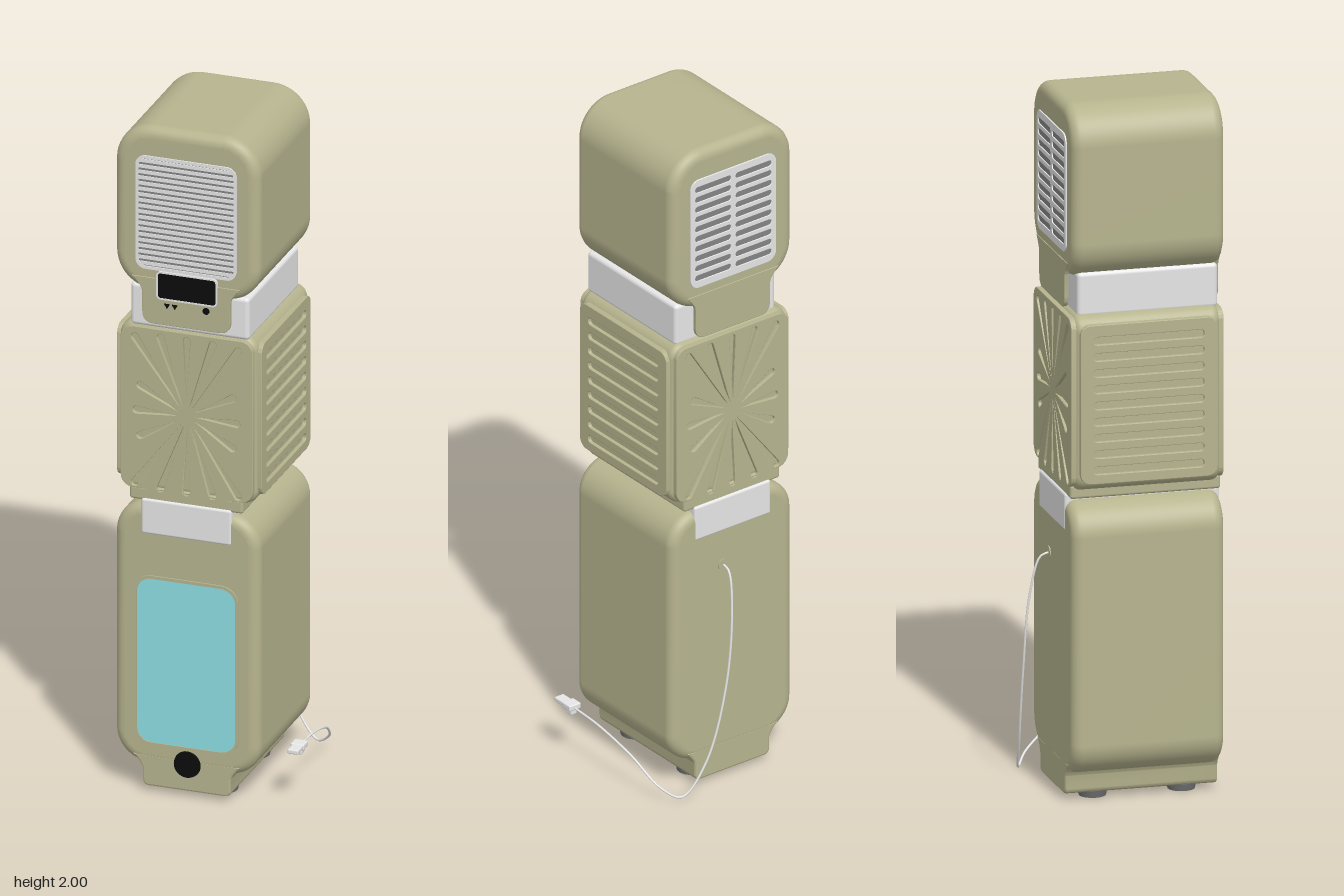
import * as THREE from 'three';
import { mergeVertices, toCreasedNormals } from 'three/addons/utils/BufferGeometryUtils.js';
import { RoundedBoxGeometry } from 'three/addons/geometries/RoundedBoxGeometry.js';

const CX = -0.053, FRONT = 0.248, BACK = -0.19;

const mat = (name, color) => {
  const m = new THREE.MeshStandardMaterial({ color });
  m.name = name;
  return m;
};

// Rounded rectangle outline
function rr(x0, y0, x1, y1, r) {
  const s = new THREE.Shape(), h = Math.PI / 2;
  s.moveTo(x0 + r, y0);
  s.absarc(x1 - r, y0 + r, r, -h, 0, false);
  s.absarc(x1 - r, y1 - r, r, 0, h, false);
  s.absarc(x0 + r, y1 - r, r, h, 2 * h, false);
  s.absarc(x0 + r, y0 + r, r, 2 * h, 3 * h, false);
  return s;
}

// Rounded rectangle frame of even width
function ring(x0, y0, x1, y1, r, w) {
  const s = rr(x0, y0, x1, y1, r);
  s.holes.push(rr(x0 + w, y0 + w, x1 - w, y1 - w, r - w));
  return s;
}

// Slot that widens away from the centre of the starburst
function ray(x, y) {
  const a = Math.atan2(y, x), len = Math.hypot(x, y), r0 = 0.03, wi = 0.0015, w = 0.0105;
  const c = Math.cos(a), s = Math.sin(a), y0 = 1.145;
  const p = new THREE.Path();
  p.moveTo(CX + c * r0 + s * wi, y0 + s * r0 - c * wi);
  p.absarc(CX + c * (len - w), y0 + s * (len - w), w, a - Math.PI / 2, a + Math.PI / 2, false);
  p.lineTo(CX + c * r0 - s * wi, y0 + s * r0 + c * wi);
  p.closePath();
  return p;
}

// Neck outline that flares where it meets the module
function neck(y0, y1, w, r) {
  const s = new THREE.Shape(), flare = y1 - 0.03;
  s.moveTo(CX - w + r, y0);
  s.lineTo(CX + w - r, y0);
  s.quadraticCurveTo(CX + w, y0, CX + w, y0 + r);
  s.lineTo(CX + w, flare - 0.015);
  s.quadraticCurveTo(CX + w, flare, CX + w + 0.03, y1);
  s.lineTo(CX - w - 0.03, y1);
  s.quadraticCurveTo(CX - w, flare, CX - w, flare - 0.015);
  s.lineTo(CX - w, y0 + r);
  s.quadraticCurveTo(CX - w, y0, CX - w + r, y0);
  return s;
}

// Extrude a shape from z0 to z1 with rims kept inside the outline
function extrude(shape, z0, z1, bevel, bevelSegments) {
  const g = new THREE.ExtrudeGeometry(shape, {
    depth: z1 - z0 - 2 * bevel, curveSegments: 8, bevelEnabled: bevel > 0,
    bevelThickness: bevel, bevelSize: bevel, bevelOffset: -bevel, bevelSegments,
  });
  return g.translate(0, 0, z0 + bevel);
}

// Thin plate with crisp edges
const slab = (shape, z0, z1, bevel = 0) => toCreasedNormals(extrude(shape, z0, z1, bevel, 2), 0.35);

// Soft moulded body; area-weighted normals keep its large faces flat
function body(shape, z0, z1, bevel) {
  const g = extrude(shape, z0, z1, bevel, 6);
  g.deleteAttribute('uv');
  g.deleteAttribute('normal');
  const m = mergeVertices(g, 1e-5);
  m.computeVertexNormals();
  return m;
}

export function createModel() {
  const olive = mat('olive shell', 0xb6b48e);
  const light = mat('light grey', 0xe6e6e6);
  const shade = mat('vent grey', 0x858585);
  const black = mat('black', 0x0b0b0b);
  const teal = mat('teal window', 0x8cdde3);
  const dark = mat('rubber grey', 0x707070);

  const root = new THREE.Group();
  root.name = 'stackedTower';
  const add = (name, geo, material, parent = root) => {
    const m = new THREE.Mesh(geo, material);
    m.name = name;
    parent.add(m);
    return m;
  };
  const group = (name) => {
    const g = new THREE.Group();
    g.name = name;
    root.add(g);
    return g;
  };
  const box = (x0, y0, z0, x1, y1, z1, r) => {
    const g = new RoundedBoxGeometry(x1 - x0, y1 - y0, z1 - z0, 3, r);
    return g.translate((x0 + x1) / 2, (y0 + y1) / 2, (z0 + z1) / 2);
  };

  // Lower module with window, knob and feet
  const low = group('lowerModule');
  add('lowerBody', body(rr(-0.266, 0.08, 0.16, 0.865, 0.095), BACK, FRONT, 0.03), olive, low);
  add('base', slab(neck(0.016, 0.11, 0.13, 0.02), BACK, FRONT, 0.006), olive, low);
  add('window', slab(rr(-0.2, 0.148, 0.094, 0.645, 0.045), FRONT - 0.002, FRONT + 0.001), teal, low);
  add('windowFrame', slab(ring(-0.207, 0.141, 0.101, 0.652, 0.052, 0.009), FRONT - 0.004, FRONT + 0.004), olive, low);
  const knob = new THREE.CylinderGeometry(0.038, 0.04, 0.01, 32).rotateX(Math.PI / 2);
  add('knob', knob.translate(-0.05, 0.098, FRONT + 0.001), black, low);
  for (const x of [-0.14, 0.025]) for (const z of [0.155, -0.1])
    add('foot', new THREE.CylinderGeometry(0.042, 0.038, 0.02, 24).translate(x, 0.01, z), dark, low);

  // Connector between lower and middle modules
  add('lowerConnector', box(-0.186, 0.775, BACK - 0.002, 0.08, 0.882, FRONT + 0.003, 0.008), light);

  // Middle module: rounded core, starburst panels and slotted sides
  const mid = group('middleModule');
  add('middleCore', body(rr(-0.256, 0.9, 0.151, 1.405, 0.045), BACK + 0.01, FRONT - 0.01, 0.022), olive, mid);
  add('middleBase', box(-0.222, 0.874, BACK + 0.004, 0.112, 0.915, FRONT - 0.002, 0.008), olive, mid);
  const burst = rr(-0.247, 0.91, 0.142, 1.396, 0.035);
  const ends = [[0.08, 0.237], [0.158, 0.228], [0.145, 0.08]];
  for (const sx of [-1, 1]) {
    for (const sy of [-1, 1]) for (const [x, y] of ends) burst.holes.push(ray(sx * x, sy * y));
    burst.holes.push(ray(sx * 0.158, 0), ray(0, sx * 0.238));
  }
  add('frontBurstPanel', slab(burst, FRONT - 0.02, FRONT, 0.002), olive, mid);
  add('backBurstPanel', slab(burst, BACK, BACK + 0.02, 0.002), olive, mid);
  const side = rr(BACK + 0.022, 0.925, FRONT - 0.022, 1.382, 0.03);
  for (let i = 0; i < 9; i++) {
    const y = 0.964 + i * 0.0465;
    side.holes.push(rr(-0.13, y - 0.011, 0.187, y + 0.011, 0.0105));
  }
  for (const [name, x0] of [['leftSlotPanel', 0.141], ['rightSlotPanel', -0.266]])
    add(name, slab(side, -x0 - 0.02, -x0, 0.002).rotateY(-Math.PI / 2), olive, mid);

  // Collar under the head
  add('collar', box(-0.222, 1.395, -0.165, 0.127, 1.522, 0.238, 0.012), light);

  // Upper module with tabs front and back
  const top = group('upperModule');
  add('upperBody', body(rr(-0.266, 1.505, 0.16, 2, 0.11), BACK, FRONT, 0.03), olive, top);
  add('frontTab', slab(neck(1.412, 1.55, 0.13, 0.035), FRONT - 0.01, FRONT + 0.002, 0.002), olive, top);
  add('backTab', slab(neck(1.412, 1.55, 0.13, 0.035), BACK - 0.002, BACK + 0.01, 0.002), olive, top);

  // Front grille: backing, frame and louvres
  add('grilleBacking', slab(rr(-0.2, 1.577, 0.094, 1.914, 0.028), FRONT - 0.002, FRONT + 0.0008), shade, top);
  add('grilleFrame', slab(ring(-0.202, 1.575, 0.096, 1.916, 0.03, 0.009), FRONT - 0.004, FRONT + 0.004), light, top);
  for (let i = 0; i < 19; i++)
    add('louvre', new THREE.BoxGeometry(0.284, 0.01, 0.004).translate(CX, 1.592 + i * 0.0171, FRONT + 0.0014), light, top);

  // Rear vent plate with two columns of slots
  const vent = rr(-0.202, 1.575, 0.096, 1.916, 0.03);
  for (let i = 0; i < 10; i++) {
    const y = 1.606 + i * 0.031;
    vent.holes.push(rr(-0.186, y - 0.009, CX - 0.008, y + 0.009, 0.0085));
    vent.holes.push(rr(CX + 0.008, y - 0.009, 0.08, y + 0.009, 0.0085));
  }
  add('ventBacking', slab(rr(-0.198, 1.579, 0.092, 1.912, 0.026), BACK - 0.001, BACK + 0.004), shade, top);
  add('ventPlate', slab(vent, BACK - 0.004, BACK + 0.004, 0.001), light, top);

  // Display and buttons
  add('displayRim', slab(ring(-0.14, 1.49, 0.04, 1.574, 0.014, 0.005), FRONT - 0.002, FRONT + 0.007), light, top);
  add('display', slab(rr(-0.136, 1.494, 0.036, 1.57, 0.01), FRONT - 0.002, FRONT + 0.006), black, top);
  for (const x of [-0.109, -0.086, 0.006]) {
    const b = new THREE.CylinderGeometry(0.01, 0.01, 0.006, x > 0 ? 16 : 3).rotateX(Math.PI / 2);
    add('button', b.translate(x, 1.473, FRONT + 0.001), black, top);
  }

  // Power cord and plug
  const path = [
    [-0.02, 0.67, -0.188], [-0.02, 0.66, -0.215], [-0.01, 0.55, -0.243], [0.02, 0.32, -0.254],
    [0.085, 0.1, -0.247], [0.155, 0.01, -0.23], [0.203, 0.04, -0.195], [0.232, 0.11, -0.1],
    [0.243, 0.15, 0.03], [0.245, 0.16, 0.14],
  ].map((p) => new THREE.Vector3(...p));
  add('cord', new THREE.TubeGeometry(new THREE.CatmullRomCurve3(path), 90, 0.0034, 8), light);
  const grommet = new THREE.CylinderGeometry(0.018, 0.018, 0.006, 20).rotateX(Math.PI / 2);
  add('cordGrommet', grommet.translate(-0.02, 0.67, BACK), olive);
  add('plugBody', box(0.225, 0.154, 0.135, 0.265, 0.172, 0.172, 0.004), light);
  add('plugTip', box(0.23, 0.156, 0.165, 0.262, 0.17, 0.21, 0.004), light);
  add('plugStem', box(0.235, 0.138, 0.14, 0.256, 0.158, 0.165, 0.004), light);

  return root;
}
